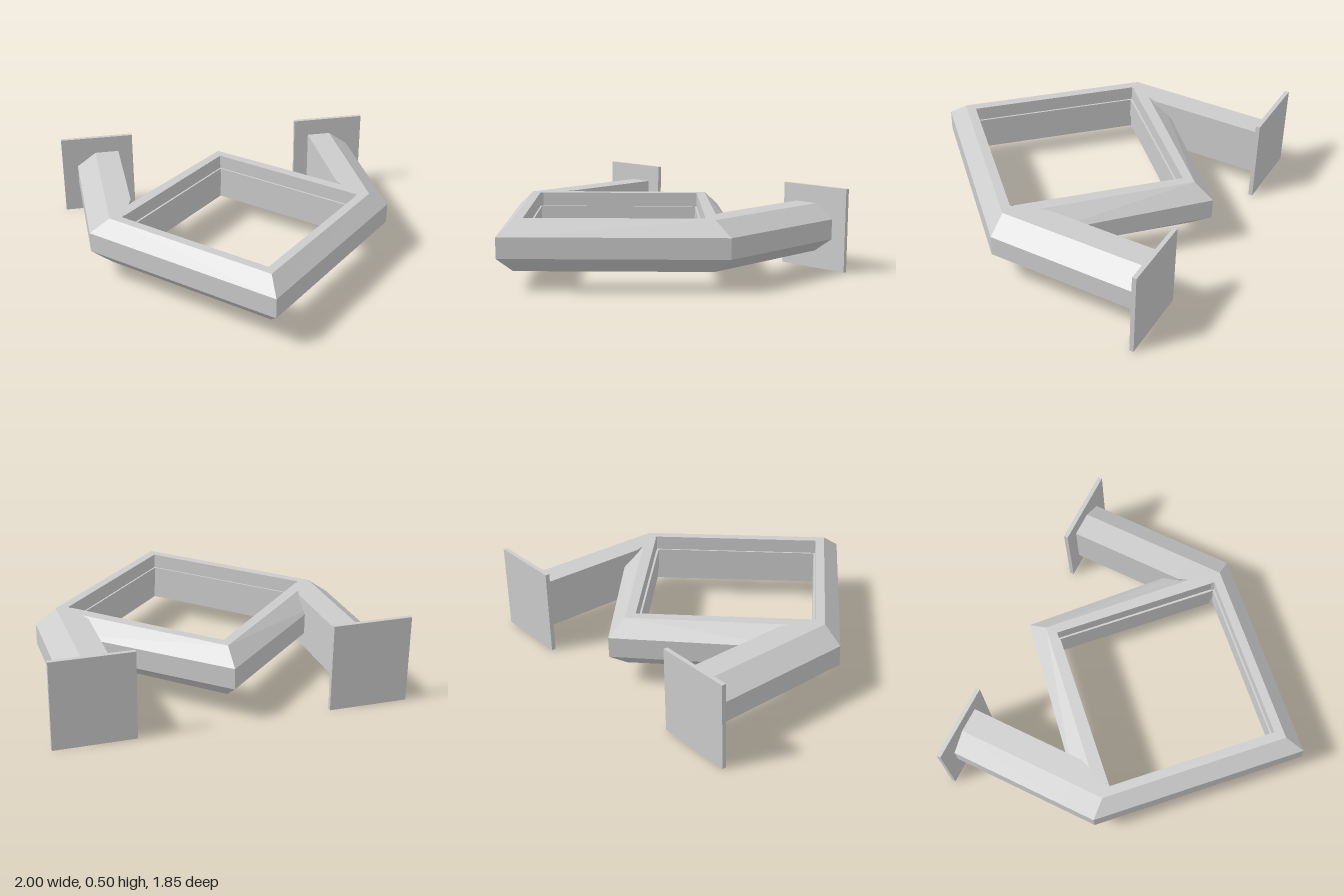
import * as THREE from 'three';

const material = new THREE.MeshStandardMaterial({ color: 0xcccccc, flatShading: true });

// Bar profile: [inset from the outer edge, height]; chamfered outside, raised band inside
const barProfile = [
  [0, 0.19], [0, 0.31], [0.12, 0.395], [0.195, 0.395], [0.195, 0.31],
  [0.21, 0.31], [0.21, 0.19], [0.195, 0.19], [0.195, 0.105], [0.12, 0.105],
];
const armProfile = (width) => [
  [0, 0.19], [0, 0.31], [0.12, 0.395], [width, 0.395], [width, 0.105], [0.12, 0.105],
];

// Skin between successive cross-sections; flip reverses the winding for mirrored parts
function loft(name, sections, flip) {
  const positions = [];
  for (let i = 0; i < sections.length - 1; i++) {
    const a = sections[i], b = sections[i + 1], n = a.length;
    for (let j = 0; j < n; j++) {
      const k = (j + 1) % n;
      const quad = flip
        ? [a[j], b[k], b[j], a[j], a[k], b[k]]
        : [a[j], b[j], b[k], a[j], b[k], a[k]];
      quad.forEach((p) => positions.push(...p));
    }
  }
  const geometry = new THREE.BufferGeometry();
  geometry.setAttribute('position', new THREE.Float32BufferAttribute(positions, 3));
  geometry.computeVertexNormals();
  const mesh = new THREE.Mesh(geometry, material);
  mesh.name = name;
  return mesh;
}

export function createModel() {
  const model = new THREE.Group();
  model.name = 'diamondFrameBracket';
  const cornerZ = 0.01;

  for (const [s, side] of [[1, 'left'], [-1, 'right']]) {
    const half = new THREE.Group();
    half.name = side + 'Half';
    const flip = s < 0;

    // Front bar, mitred at the front point and at the side corner
    half.add(loft(side + 'FrontBar', [
      barProfile.map(([d, y]) => [0, y, 0.92 - d]),
      barProfile.map(([d, y]) => [s * (0.905 - d), y, cornerZ]),
    ], flip));

    // Rear bar, running from the side arm to the rear point
    half.add(loft(side + 'RearBar', [
      barProfile.map(([d, y]) => {
        const f = d / 0.21;
        return [s * (0.75 - 0.055 * f), y, -0.2 + 0.21 * f];
      }),
      barProfile.map(([d, y]) => [0, y, -0.89 + d]),
    ], flip));

    // Arm, narrowing at the front to meet the diamond's inner corner
    half.add(loft(side + 'Arm', [[cornerZ, 0.195], [-0.2, 0.268], [-0.91, 0.268]].map(
      ([z, width]) => armProfile(width).map(([d, y]) => [s * (0.905 - d), y, z]),
    ), flip));

    // Mounting plate
    const plate = new THREE.Mesh(new THREE.BoxGeometry(0.456, 0.5, 0.025), material);
    plate.name = side + 'MountingPlate';
    plate.position.set(s * 0.772, 0.25, -0.9125);
    half.add(plate);

    model.add(half);
  }
  return model;
}
